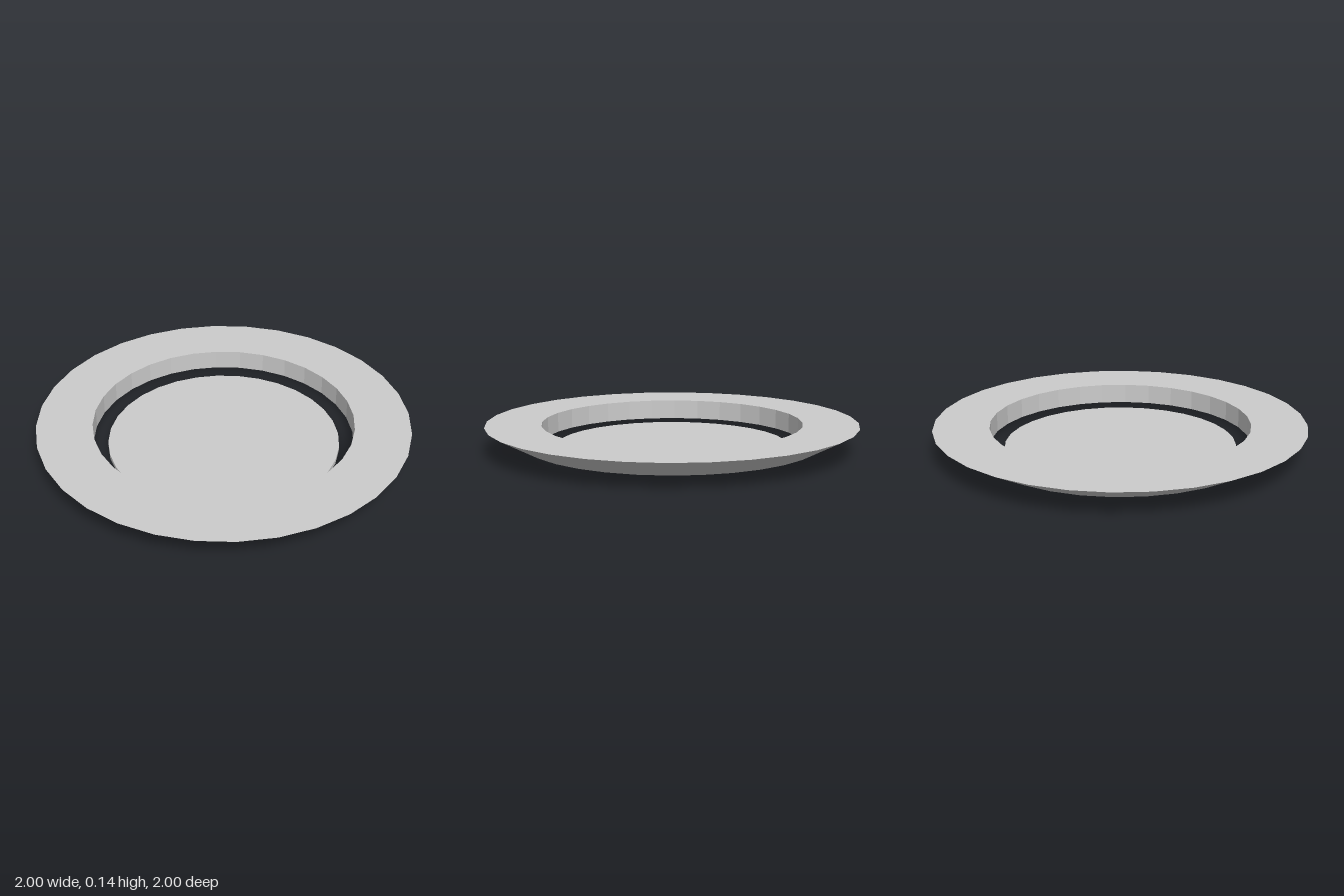
import * as THREE from 'three';

const SIDES = 32;

export function createModel() {
  const group = new THREE.Group();
  const material = new THREE.MeshStandardMaterial({ color: 0xcccccc, flatShading: true });

  // Outer ring: flat top, straight inner wall, sloped outer wall
  const profile = [[0.7, 0.035], [0.795, 0.035], [1, 0.142], [0.7, 0.142], [0.7, 0.035]]
    .map(([r, y]) => new THREE.Vector2(r, y));
  const ring = new THREE.Mesh(new THREE.LatheGeometry(profile, SIDES), material);
  ring.name = 'outerRing';
  group.add(ring);

  // Thin centre disc, set just below the ring
  const thickness = 0.026;
  const disc = new THREE.Mesh(new THREE.CylinderGeometry(0.623, 0.623, thickness, SIDES), material);
  disc.name = 'centreDisc';
  disc.position.y = thickness / 2;
  group.add(disc);

  return group;
}
